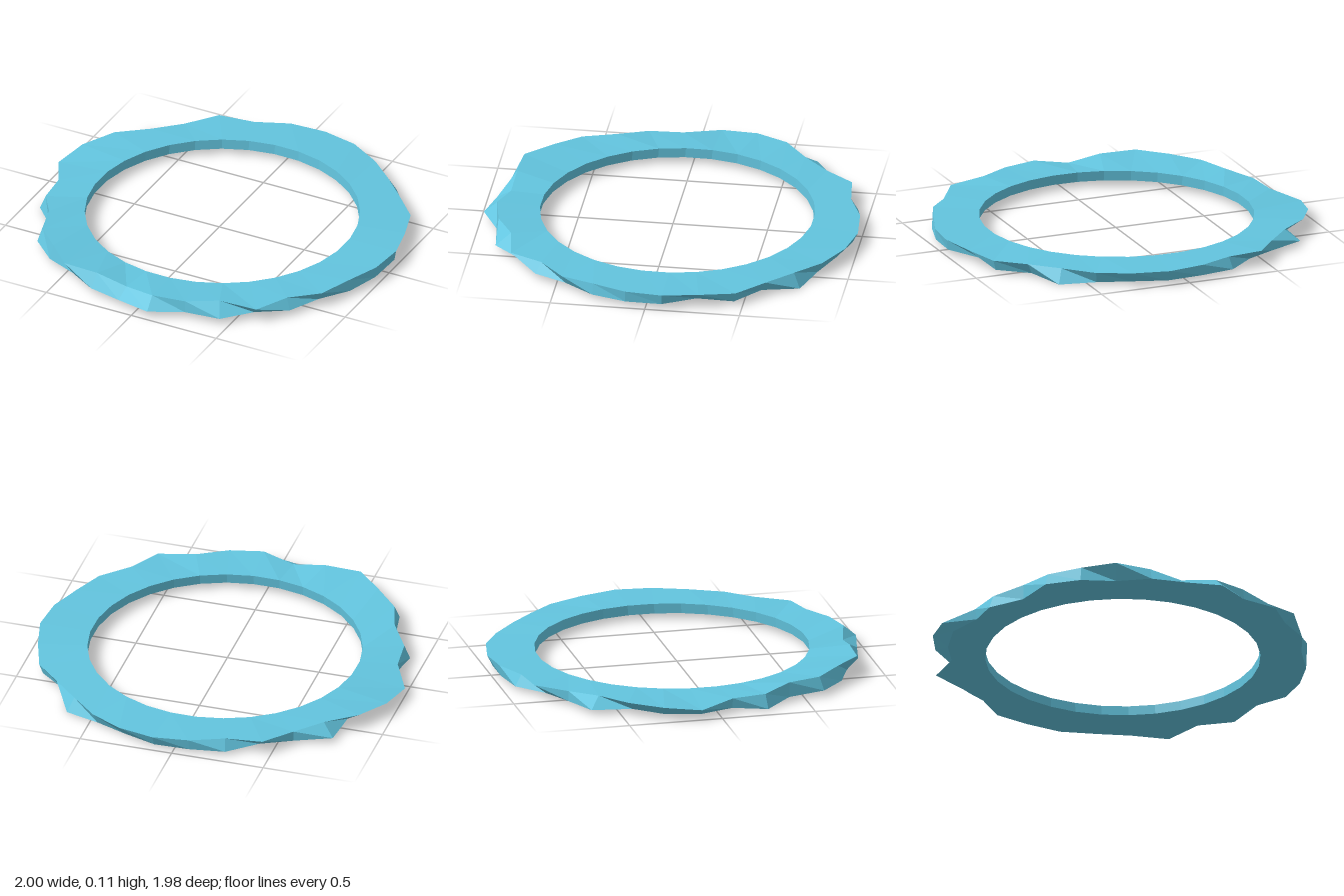
import * as THREE from 'three';

// Outer rim radii and heights per spoke, upper and lower edges
const TOP_R = [1.0, 0.985, 0.955, 0.96, 0.92, 0.98, 0.895, 0.92, 0.92, 0.875, 0.905, 0.975, 0.94, 0.94, 0.89, 0.925,
  0.91, 1.01, 1.01, 0.985, 0.925, 0.93, 0.99, 0.94, 0.98, 1.0, 1.0, 0.98, 0.955, 0.96, 1.0, 0.99];
const LOW_R = [0.99, 0.98, 0.965, 0.93, 0.96, 0.93, 0.98, 0.93, 0.99, 0.95, 0.95, 0.92, 0.96, 0.97, 0.89, 0.955,
  0.9, 0.95, 0.93, 0.9, 1.01, 0.93, 0.91, 0.975, 0.97, 0.97, 0.95, 0.95, 1.0, 0.92, 0.98, 0.91];
const TOP_Y = [0.085, 0.085, 0.085, 0.08, 0.085, 0.08, 0.095, 0.095, 0.1, 0.08, 0.11, 0.11, 0.11, 0.1, 0.1, 0.08,
  0.075, 0.055, 0.07, 0.08, 0.08, 0.075, 0.08, 0.08, 0.08, 0.075, 0.075, 0.07, 0.075, 0.075, 0.07, 0.08];
const LOW_Y = [0.03, 0.025, 0.025, 0.03, 0.03, 0.035, 0.035, 0.035, 0.04, 0.035, 0.035, 0.03, 0.03, 0.03, 0.02, 0.005,
  0.02, 0.015, 0.01, 0.02, 0.025, 0.02, 0.02, 0.02, 0.02, 0.015, 0.015, 0.01, 0.0, 0.015, 0.015, 0.02];

function ringGeometry() {
  const n = TOP_R.length;
  const positions = [], index = [];
  for (let i = 0; i < n; i++) {
    const a = (-5 + (i * 360) / n) * Math.PI / 180;
    const c = Math.cos(a), s = Math.sin(a);
    // Cross-section: outer top, outer bottom, inner bottom, inner top
    positions.push(TOP_R[i] * c, TOP_Y[i], TOP_R[i] * s);
    positions.push(LOW_R[i] * c, LOW_Y[i], LOW_R[i] * s);
    positions.push(0.005 + 0.72 * c, 0.03, -0.02 + 0.72 * s);
    positions.push(0.005 + 0.72 * c, 0.083, -0.025 + 0.72 * s);
    for (let j = 0; j < 4; j++) {
      const next = ((i + 1) % n) * 4, k = (j + 1) % 4;
      const p = i * 4 + j, q = next + j, r = next + k, t = i * 4 + k;
      index.push(p, q, t, q, r, t);
    }
  }
  const indexed = new THREE.BufferGeometry();
  indexed.setAttribute('position', new THREE.Float32BufferAttribute(positions, 3));
  indexed.setIndex(index);
  const geometry = indexed.toNonIndexed();
  geometry.computeVertexNormals();
  return geometry;
}

export function createModel() {
  const model = new THREE.Group();
  model.name = 'jaggedRing';
  const material = new THREE.MeshStandardMaterial({ color: 0x62c4de, flatShading: true });
  const ring = new THREE.Mesh(ringGeometry(), material);
  ring.name = 'ring';
  model.add(ring);
  return model;
}
